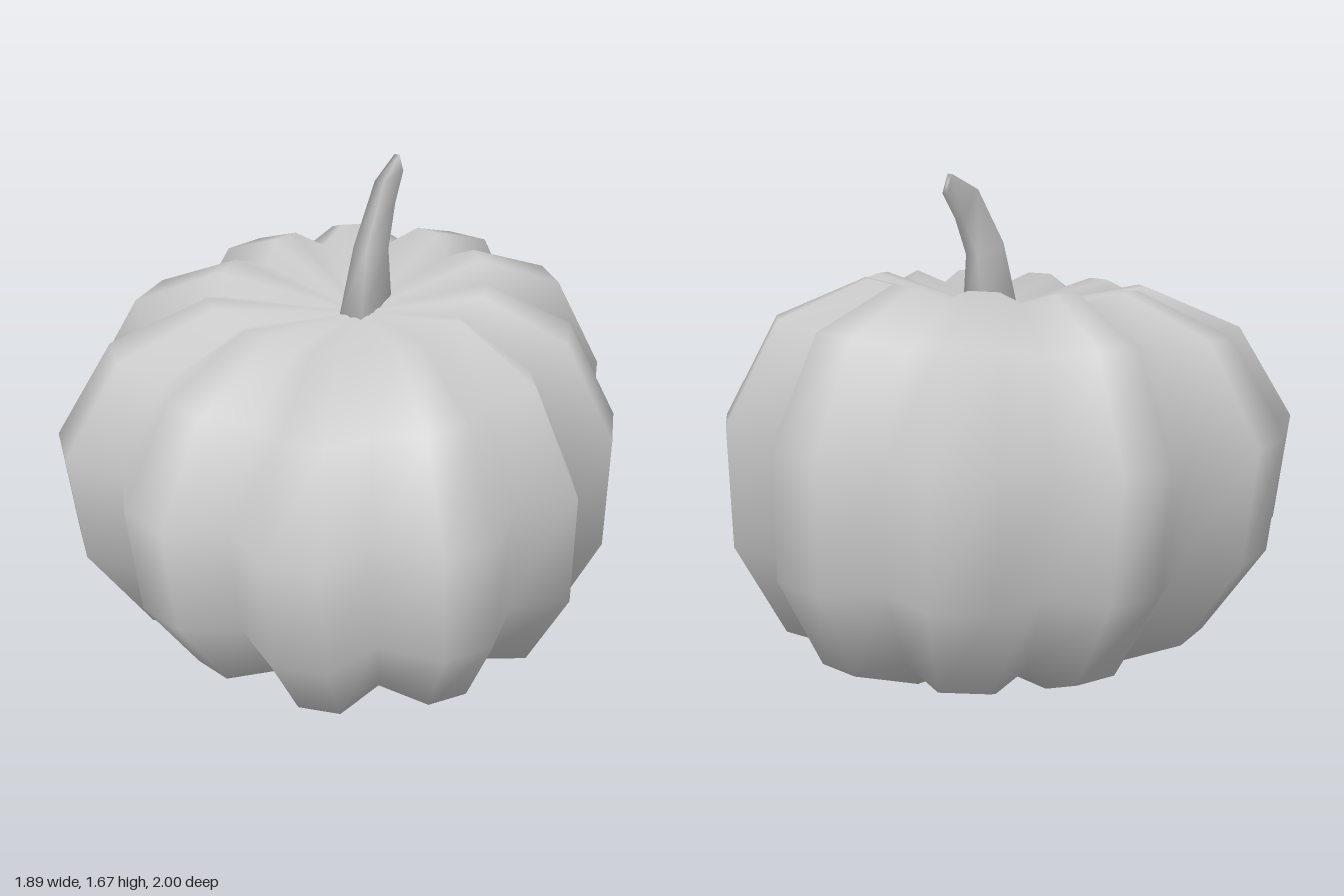
import * as THREE from 'three';

// Skin stacked rings of points (listed clockwise from above, bottom ring first) and close both ends on a pole
function loft(rings, bottom, top) {
  const n = rings[0].length, pos = [], index = [];
  rings.forEach(r => r.forEach(p => pos.push(...p)));
  const b = rings.length * n, t = b + 1, last = b - n;
  pos.push(...bottom, ...top);
  for (let i = 0; i < n; i++) {
    const k = (i + 1) % n;
    for (let j = 0; j < rings.length - 1; j++) {
      const a = j * n + i, c = j * n + k;
      index.push(a, a + n, c, c, a + n, c + n);
    }
    index.push(b, i, k, t, last + k, last + i);
  }
  const g = new THREE.BufferGeometry();
  g.setAttribute('position', new THREE.Float32BufferAttribute(pos, 3));
  g.setIndex(index);
  g.computeVertexNormals();
  return g;
}

// Plan of the body at its widest: for each lobe, its groove followed by its crest points (x, z)
const lobes = [
  [[-0.155, -0.84], [-0.02, -1.0], [0.18, -1.0]],
  [[0.33, -0.83], [0.53, -0.88], [0.68, -0.77]],
  [[0.71, -0.545], [0.9, -0.455], [0.945, -0.275]],
  [[0.84, -0.07], [0.93, 0.11], [0.89, 0.3]],
  [[0.72, 0.41], [0.72, 0.64]],
  [[0.52, 0.67], [0.44, 0.88], [0.28, 0.95]],
  [[0.08, 0.865], [-0.08, 1.0], [-0.25, 0.95]],
  [[-0.35, 0.75], [-0.55, 0.75], [-0.675, 0.62]],
  [[-0.7, 0.41], [-0.9, 0.305], [-0.95, 0.12]],
  [[-0.83, -0.055], [-0.885, -0.275], [-0.785, -0.47]],
  [[-0.57, -0.555], [-0.505, -0.79], [-0.36, -0.895]],
];

// Profile of the body: height, scale of the plan, shift in x, vertical offset in the grooves
const profile = [
  [0.01, 0.48, 0.05, 0.03],
  [0.15, 0.785, 0.05, 0.03],
  [0.46, 0.975, 0.02, 0],
  [0.85, 1, 0, 0],
  [1.17, 0.81, 0.01, -0.03],
  [1.3, 0.49, 0.03, -0.04],
];

function bodyGeometry() {
  const rings = profile.map(([y, s, dx, dip]) => lobes.flatMap(lobe =>
    lobe.map(([px, pz], i) => {
      const x = px * s + dx, z = pz * s;
      // the body leans: higher at the back and on the left
      const lean = (0.04 * x - 0.1 * z) * y / 1.3;
      return [x, y + lean + (i === 0 ? dip : 0), z];
    })));
  return loft(rings, [0.05, 0.06, 0], [0.07, 1.2, 0]);
}

// Stem cross-sections: front edge, back edge, half thickness
const stemSections = [
  [[0.035, 1.19, 0.06], [0.145, 1.19, -0.085], 0.045],
  [[0.068, 1.43, 0.022], [0.146, 1.4, -0.082], 0.026],
  [[0.135, 1.62, -0.1], [0.178, 1.53, -0.165], 0.018],
  [[0.2, 1.68, -0.22], [0.215, 1.62, -0.24], 0.01],
];

function stemGeometry() {
  const side = ([x, y, z], w) => [x + 0.8 * w, y, z + 0.6 * w];
  const rings = stemSections.map(([f, b, w]) => [side(f, -w), side(b, -w), side(b, w), side(f, w)]);
  const middle = ([f, b]) => f.map((v, i) => (v + b[i]) / 2);
  return loft(rings, middle(stemSections[0]), middle(stemSections.at(-1)));
}

export function createModel() {
  const group = new THREE.Group();
  group.name = 'pumpkin';
  const material = new THREE.MeshStandardMaterial({ color: 0xcccccc });
  const parts = { body: bodyGeometry(), stem: stemGeometry() };
  for (const [name, geometry] of Object.entries(parts)) {
    const mesh = new THREE.Mesh(geometry, material);
    mesh.name = name;
    group.add(mesh);
  }
  return group;
}
